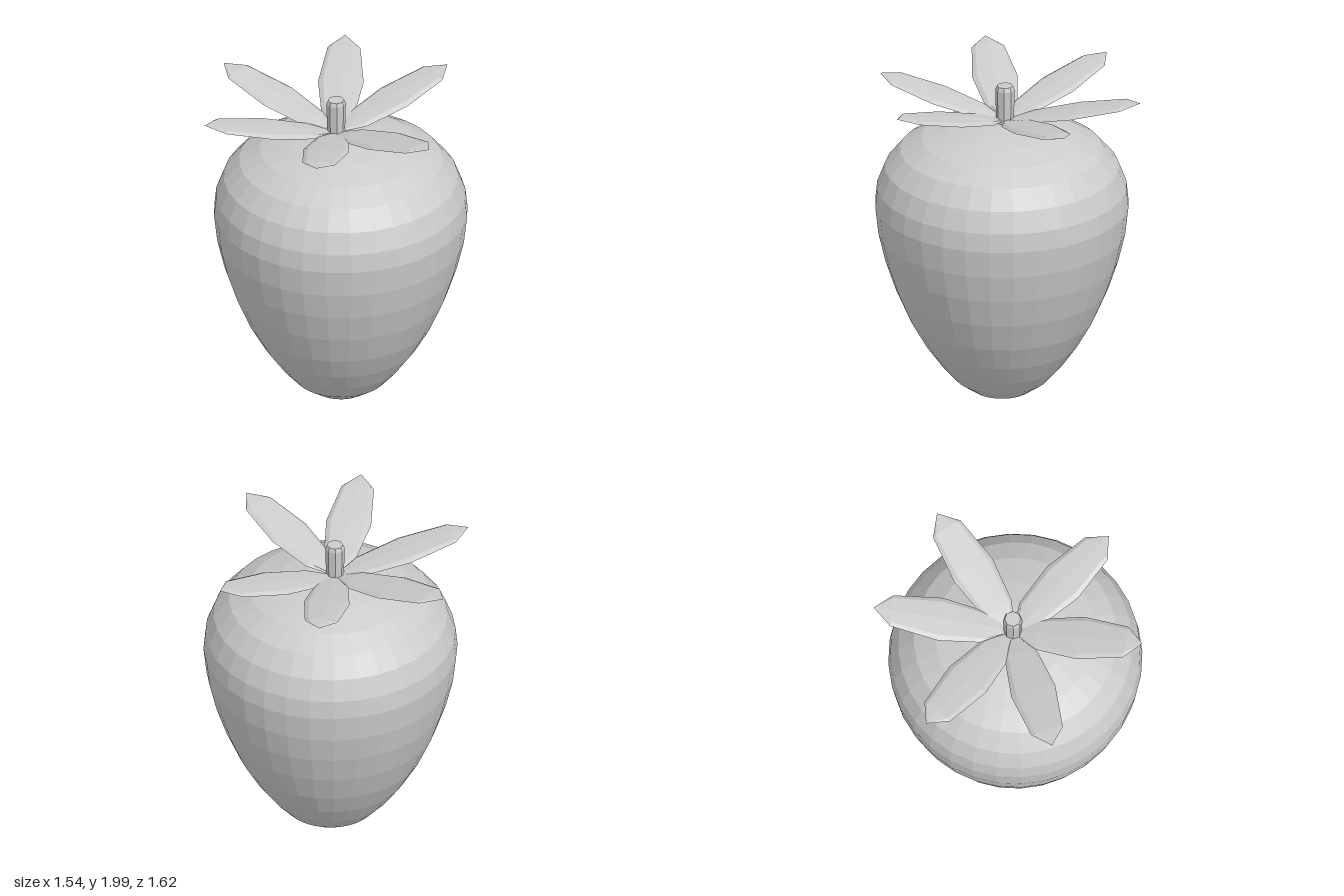
import * as THREE from 'three';

const material = new THREE.MeshStandardMaterial({ color: 0xcccccc, flatShading: true });

function part(name, geometry) {
  const mesh = new THREE.Mesh(geometry, material);
  mesh.name = name;
  return mesh;
}

// Berry: faceted lathe from tip to shoulder, [radius, height]
function berryGeometry() {
  const profile = [
    [0, 0.01], [0.09, 0.02], [0.175, 0.055], [0.28, 0.13], [0.37, 0.235], [0.465, 0.37],
    [0.555, 0.53], [0.636, 0.72], [0.697, 0.905], [0.738, 1.08], [0.757, 1.25], [0.745, 1.365],
    [0.697, 1.49], [0.605, 1.6], [0.48, 1.675], [0.31, 1.728], [0.16, 1.757], [0, 1.767],
  ];
  return new THREE.LatheGeometry(profile.map(([r, y]) => new THREE.Vector2(r, y)), 32);
}

// Leaf: six-sided lens section swept outward along +x, rising to a pointed tip
function leafGeometry(length) {
  // [distance along leaf (0..1), half width, thickness scale]
  const stations = [[0.02, 0.012, 0.3], [0.19, 0.098, 0.8], [0.52, 0.136, 1], [0.87, 0.098, 0.7], [1, 0, 0]];
  const section = [[1, 0], [0.78, 0.018], [0, 0.024], [-0.78, 0.018], [-1, 0], [0, -0.024]];
  const n = section.length;
  const positions = [];
  const indices = [];
  for (const [t, width, thick] of stations) {
    for (const [side, lift] of section) {
      positions.push(t * length, t * 0.197 + lift * thick, side * width);
    }
  }
  for (let s = 0; s < stations.length - 1; s++) {
    for (let i = 0; i < n; i++) {
      const a = s * n + i, b = s * n + (i + 1) % n;
      indices.push(a, a + n, b);
      if (s < stations.length - 2) indices.push(b, a + n, b + n);
    }
  }
  for (let i = 1; i < n - 1; i++) indices.push(0, i, i + 1);
  const geometry = new THREE.BufferGeometry();
  geometry.setAttribute('position', new THREE.Float32BufferAttribute(positions, 3));
  geometry.setIndex(indices);
  geometry.computeVertexNormals();
  return geometry;
}

export function createModel() {
  const model = new THREE.Group();
  model.name = 'strawberry';

  const berry = part('berry', berryGeometry());
  berry.position.set(-0.013, 0, 0.05);
  model.add(berry);

  // Crown of six leaves, placed by the x and z of each tip
  const crown = new THREE.Group();
  crown.name = 'leafCrown';
  crown.position.set(-0.02, 1.775, 0.02);
  const tips = [[-0.075, -0.81], [0.65, -0.475], [0.77, 0.22], [-0.085, 0.8], [-0.69, 0.43], [-0.725, -0.41]];
  tips.forEach(([x, z], i) => {
    const dx = x - crown.position.x, dz = z - crown.position.z;
    const leaf = part('leaf' + (i + 1), leafGeometry(Math.hypot(dx, dz)));
    leaf.rotation.y = -Math.atan2(dz, dx);
    crown.add(leaf);
  });
  model.add(crown);

  // Stem with a small chamfer at its cut end
  const stemProfile = [[0, 1.74], [0.052, 1.74], [0.058, 1.975], [0.048, 2], [0, 2]];
  const stem = part('stem', new THREE.LatheGeometry(stemProfile.map(([r, y]) => new THREE.Vector2(r, y)), 8));
  stem.position.set(-0.02, 0, 0.02);
  model.add(stem);

  return model;
}
